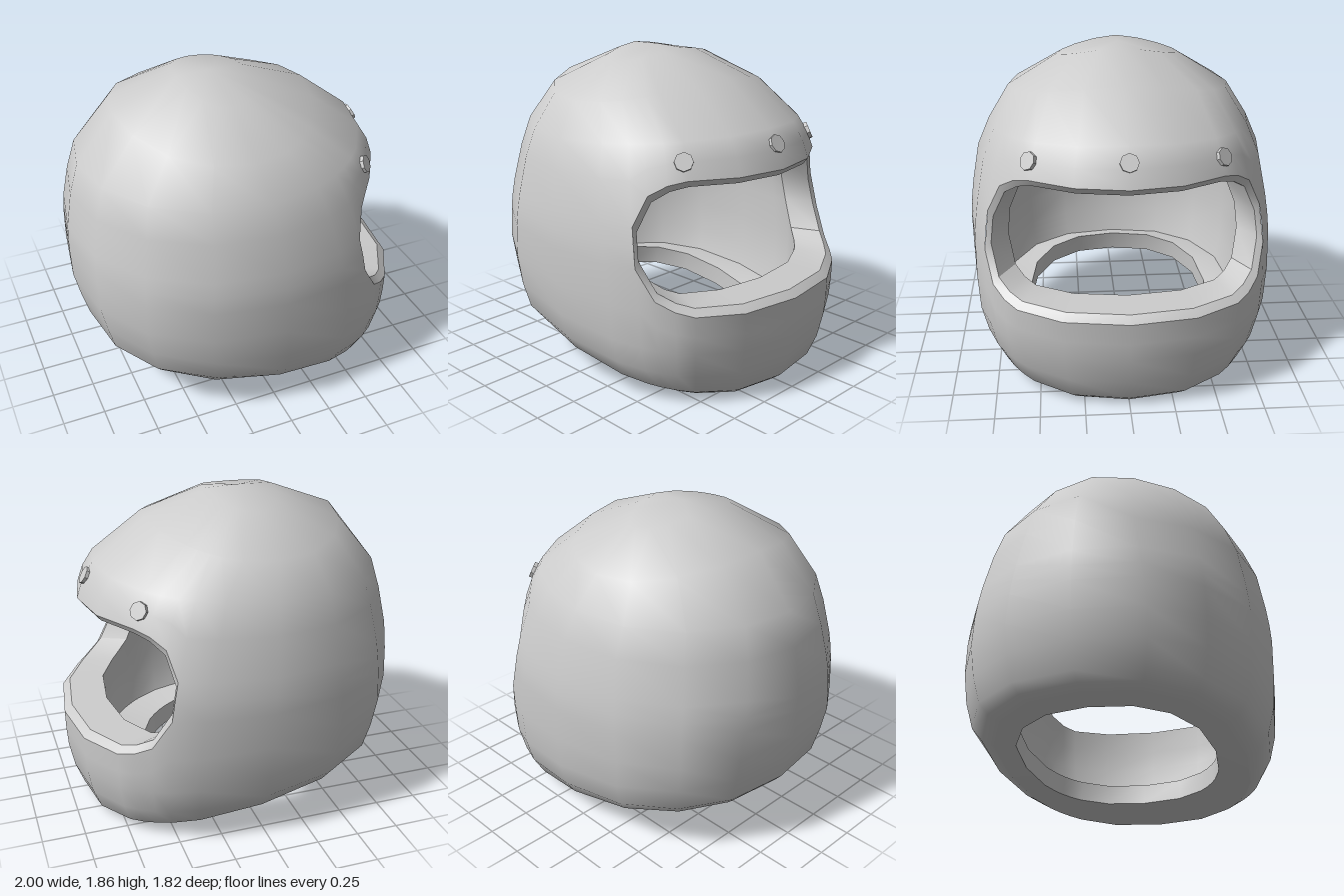
import * as THREE from 'three';
import { mergeVertices, toCreasedNormals } from 'three/addons/utils/BufferGeometryUtils.js';

const V = (x, y, z) => new THREE.Vector3(x, y, z);
const lerp = THREE.MathUtils.lerp, clamp = THREE.MathUtils.clamp;
const TOP = 11;

// Sections from neck to crown: front x, front y, back x, back y, half width, droop at the sides
const rows = [
  [0.86, 0.00, -0.82, 0.295, 0.72, 0], [0.91, 0.04, -0.875, 0.32, 0.79, 0],
  [0.96, 0.17, -0.92, 0.37, 0.85, 0], [0.99, 0.32, -0.96, 0.52, 0.89, 0],
  [1.00, 0.55, -0.995, 0.68, 0.905, 0], [0.985, 0.80, -1.00, 0.85, 0.91, 0],
  [0.95, 1.03, -0.995, 1.03, 0.89, 0], [0.88, 1.27, -0.96, 1.24, 0.85, 0],
  [0.78, 1.48, -0.905, 1.43, 0.78, 0.04], [0.47, 1.72, -0.68, 1.71, 0.66, 0.11],
  [0.10, 1.855, -0.30, 1.855, 0.36, 0.065], [-0.10, 1.86, -0.10, 1.86, 0, 0],
];
const frontCurve = new THREE.CatmullRomCurve3(rows.map(r => V(r[0], r[1], r[4])), false, 'catmullrom');
const backCurve = new THREE.CatmullRomCurve3(rows.map(r => V(r[2], r[3], r[5])), false, 'catmullrom');

// Point on the shell at an angle (0 = face) and level v.
// The inset shrinks the section, leaving the shell thicker at the face than at the back.
function shellPoint(deg, v, inset = 0) {
  const f = frontCurve.getPoint(v / TOP), b = backCurve.getPoint(v / TOP);
  const e = 2 / lerp(2.36, 2, clamp((v - 4) / 3, 0, 1));
  const a = THREE.MathUtils.degToRad(deg), c = Math.cos(a), s = Math.sin(a);
  const cx = Math.sign(c) * Math.abs(c) ** e, sz = Math.sign(s) * Math.abs(s) ** e;
  const k = 1 - inset;
  const drop = b.z * Math.abs(sz) ** 1.4 + 0.7 * inset * clamp((v - 7) / 4, 0, 1);
  return V(
    (f.x + b.x) / 2 + cx * k * (f.x - b.x) / 2 - 0.3 * inset,
    lerp(b.y, f.y, (cx * k + 1) / 2) - drop,
    sz * (1 - 0.72 * inset) * f.z,
  );
}

// Columns: angle, lower and upper level of the face opening
const half = [
  [0, 4, 7], [20, 4, 7], [39, 4, 7], [46, 4.1, 6.9], [53, 4.3, 6.67], [59, 5, 6],
  [70, 5, 6], [90, 5, 6], [112.5, 5, 6], [136, 5, 6], [158.5, 5, 6], [180, 5, 6],
];
const columns = [...half.slice(1).reverse().map(([a, lo, hi]) => [-a, lo, hi]), ...half];
const EDGE = 59;

// Column of the opening, drawn in by a small margin
function column([a, lo, hi], margin) {
  if (Math.abs(a) > EDGE) return [a, lo, hi];
  return [a * (1 - 0.03 * margin), lo + 0.15 * margin, hi - 0.16 * margin];
}

function geometryFrom(points, index) {
  const g = new THREE.BufferGeometry().setFromPoints(points);
  g.setIndex(index);
  return g;
}

// Curved sheet from the given lower levels to the crown, with the face opening left out
function sheet(lowLevels, inset, margin, inward) {
  const points = [], index = [];
  const openFrom = lowLevels.length + 1, openTo = openFrom + 2, n = openTo + 6;
  columns.forEach(col => {
    const [a, lo, hi] = column(col, margin);
    const levels = [...lowLevels, (3 + lo) / 2, lo, (lo + hi) / 2, hi, (hi + 8) / 2, 8, 9, 10, TOP];
    levels.forEach(v => points.push(shellPoint(a, v, inset)));
  });
  for (let j = 0; j < columns.length - 1; j++) {
    const open = Math.abs(columns[j][0]) <= EDGE && Math.abs(columns[j + 1][0]) <= EDGE;
    for (let i = 0; i < n - 1; i++) {
      if (open && i >= openFrom && i < openTo) continue;
      const p = j * n + i, q = p + n;
      if (inward) index.push(p, q + 1, p + 1, p, q, q + 1);
      else index.push(p, p + 1, q + 1, p, q + 1, q);
    }
  }
  const g = mergeVertices(geometryFrom(points, index), 1e-4);
  g.computeVertexNormals();
  return g;
}

// Band between two closed loops of equal length
function band(a, b) {
  const n = a.length, index = [];
  for (let k = 0; k < n; k++) {
    const m = (k + 1) % n;
    index.push(k, m, n + m, k, n + m, n + k);
  }
  return toCreasedNormals(geometryFrom([...a, ...b], index), 0.5);
}

// Loop round the face opening: along the brow, then back along the chin
function openingLoop(inset, margin) {
  const cols = columns.filter(c => Math.abs(c[0]) <= EDGE).map(c => column(c, margin));
  return [
    ...cols.map(([a, , hi]) => shellPoint(a, hi, inset)),
    ...cols.reverse().map(([a, lo]) => shellPoint(a, lo, inset)),
  ];
}

export function createModel() {
  const group = new THREE.Group();
  const material = new THREE.MeshStandardMaterial({ color: 0xcccccc });
  const add = (name, geometry) => {
    const mesh = new THREE.Mesh(geometry, material);
    mesh.name = name;
    group.add(mesh);
    return mesh;
  };

  // Outer shell and inner lining
  const LINING = 0.2;
  add('outerShell', sheet([0, 1, 2, 3], 0, 0, false));
  add('innerLining', sheet([2, 3], LINING, 1, true));

  // Bevelled rim of the face opening
  const outer = openingLoop(0, 0), lip = openingLoop(0.035, 1), inner = openingLoop(LINING, 1);
  add('openingBevel', band(outer, lip));
  add('openingWall', band(lip, inner));

  // Underside plate with the neck hole: flat rim, hole wall and inner floor
  const ring = (v, inset) => columns.slice(0, -1).map(([a]) => shellPoint(a, v, inset));
  const hole = ring(0, 0.3).map(p => p.add(V(-0.04, 0, 0)));
  const holeTop = hole.map(p => p.clone().add(V(0.02, 0.12, 0)));
  add('neckRim', band(ring(0, 0), hole));
  add('neckWall', band(hole, holeTop));
  add('neckFloor', band(holeTop, ring(2, LINING)));

  // Three visor studs set square to the brow
  for (const [name, a, v, sink] of [
    ['rightStud', -40, 7.5, 0.005], ['centreStud', 0, 7.65, 0.015], ['leftStud', 40, 7.5, 0.005],
  ]) {
    const p = shellPoint(a, v);
    const up = shellPoint(a, v + 0.1).sub(p), side = shellPoint(a + 2, v).sub(p);
    const normal = up.cross(side).normalize();
    const stud = add(name, toCreasedNormals(new THREE.CylinderGeometry(0.052, 0.052, 0.04, 8), 0.5));
    stud.position.copy(p).addScaledVector(normal, -sink);
    stud.quaternion.setFromUnitVectors(V(0, 1, 0), normal);
  }
  return group;
}
